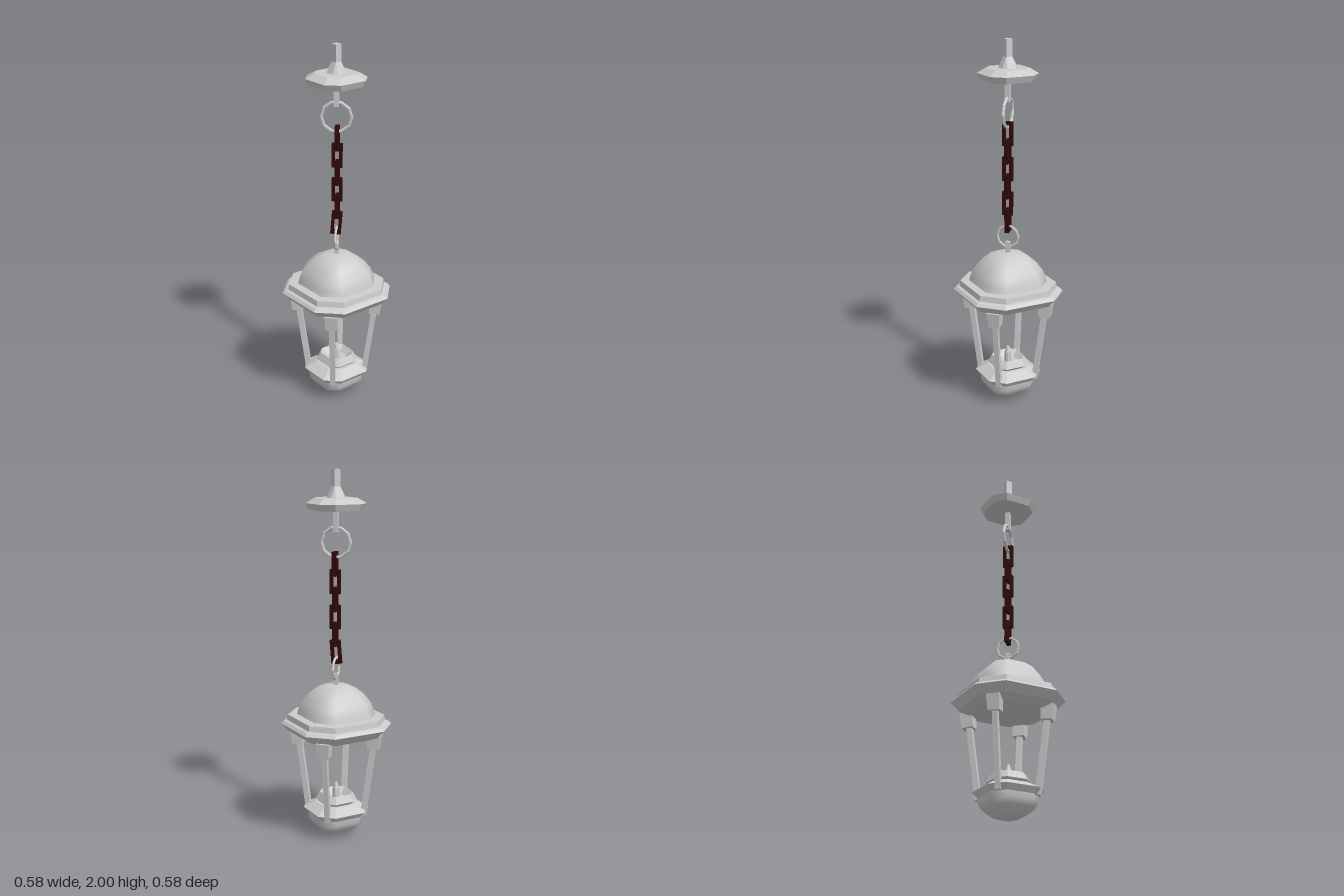
import * as THREE from 'three';
import { toCreasedNormals } from 'three/addons/utils/BufferGeometryUtils.js';

const metal = new THREE.MeshStandardMaterial({ color: 0xcccccc });
const flatMetal = new THREE.MeshStandardMaterial({ color: 0xcccccc, flatShading: true });
const rust = new THREE.MeshStandardMaterial({ color: 0x300808, flatShading: true });

// Stack of chamfered squares: rows of [half width, y, flat ratio], from bottom to top
function loft(profile) {
  const pos = [], index = [];
  for (const [w, y, ratio = 0.285] of profile) {
    const f = w * ratio;
    const ring = [[w, f], [f, w], [-f, w], [-w, f], [-w, -f], [-f, -w], [f, -w], [w, -f]];
    for (const [x, z] of ring) pos.push(x, y, z);
  }
  for (let i = 0; i < profile.length - 1; i++) {
    for (let k = 0; k < 8; k++) {
      const a = i * 8 + k, b = i * 8 + (k + 1) % 8;
      index.push(a, a + 8, b, b, a + 8, b + 8);
    }
  }
  const geo = new THREE.BufferGeometry();
  geo.setAttribute('position', new THREE.Float32BufferAttribute(pos, 3));
  geo.setIndex(index);
  geo.computeVertexNormals();
  return geo;
}

export function createModel() {
  const model = new THREE.Group();
  model.name = 'hangingLantern';
  const add = (name, geo, mat = flatMetal, parent = model) => {
    const mesh = new THREE.Mesh(geo, mat);
    mesh.name = name;
    parent.add(mesh);
    return mesh;
  };

  // Ceiling mount: plate, tapering rod above, hook stub below
  add('ceilingPlate', loft([[0, 1.79], [0.137, 1.79], [0.155, 1.825], [0.108, 1.853], [0, 1.853]]));
  add('ceilingRod', loft([[0.051, 1.85], [0.025, 1.91, 0], [0.025, 2, 0], [0, 2, 0]]));
  add('hookStub', new THREE.BoxGeometry(0.026, 0.125, 0.026)).position.y = 1.738;

  // Rings at both ends of the chain
  const upperRing = add('upperRing', new THREE.TorusGeometry(0.08, 0.009, 6, 10));
  upperRing.position.y = 1.62;
  const lowerRing = add('lowerRing', new THREE.TorusGeometry(0.06, 0.007, 6, 10));
  lowerRing.position.y = 0.94;
  lowerRing.rotation.y = Math.PI / 2;

  // Chain of rectangular links, alternately turned
  const rect = (path, w, h) => path.moveTo(-w, -h).lineTo(w, -h).lineTo(w, h).lineTo(-w, h).closePath();
  const linkShape = rect(new THREE.Shape(), 0.028, 0.065);
  linkShape.holes.push(rect(new THREE.Path(), 0.012, 0.046));
  const linkGeo = new THREE.ExtrudeGeometry(linkShape, { depth: 0.022, bevelEnabled: false });
  linkGeo.translate(0, 0, -0.011);
  const chain = new THREE.Group();
  chain.name = 'chain';
  model.add(chain);
  for (let i = 0; i < 6; i++) {
    const link = add('chainLink', linkGeo, rust, chain);
    link.position.set(i === 5 ? 0 : 0.004, 1.507 - i * 0.095, 0);
    link.rotation.y = i % 2 ? 0 : Math.PI / 2;
    if (i === 5) link.rotation.z = -0.08;
  }

  // Roof: stub, smooth dome and stepped eave
  add('roofStub', new THREE.BoxGeometry(0.024, 0.07, 0.024)).position.y = 0.875;
  add('roofDome', loft([
    [0.207, 0.675], [0.198, 0.71], [0.183, 0.75], [0.147, 0.797],
    [0.105, 0.83, 0.32], [0.06, 0.847, 0.38], [0, 0.852]
  ]), metal);
  add('roofEave', toCreasedNormals(loft([
    [0, 0.565], [0.2, 0.566], [0.252, 0.588], [0.29, 0.63], [0.276, 0.645],
    [0.258, 0.65], [0.253, 0.68], [0.2, 0.683], [0, 0.683]
  ]), 0.6));

  // Four sloping posts with brackets beneath the eave
  for (let i = 0; i < 4; i++) {
    const side = new THREE.Group();
    side.name = 'postAssembly';
    side.rotation.y = i * Math.PI / 2;
    model.add(side);
    const post = add('post', new THREE.BoxGeometry(0.03, 0.45, 0.028), flatMetal, side);
    post.position.set(0.188, 0.34, 0);
    post.rotation.z = -0.135;
    const bracketGeo = new THREE.CylinderGeometry(0.05, 0.043, 0.085, 4).rotateY(Math.PI / 4);
    const bracket = add('postBracket', bracketGeo, flatMetal, side);
    bracket.position.set(0.218, 0.546, 0);
    bracket.rotation.z = -0.1;
  }

  // Base: smooth bowl, rim, candle cup and candle
  add('baseBowl', loft([
    [0, 0], [0.045, 0.008], [0.085, 0.022], [0.13, 0.055], [0.147, 0.085], [0.15, 0.12]
  ]), metal);
  add('baseRim', loft([[0, 0.115], [0.15, 0.115], [0.175, 0.145], [0.112, 0.18], [0, 0.18]]));
  add('candleCup', loft([[0.09, 0.178], [0.108, 0.195], [0.087, 0.235], [0.055, 0.205], [0, 0.195]]));
  add('candle', loft([[0.018, 0.18], [0.018, 0.255], [0.009, 0.288], [0, 0.29]]));

  return model;
}
